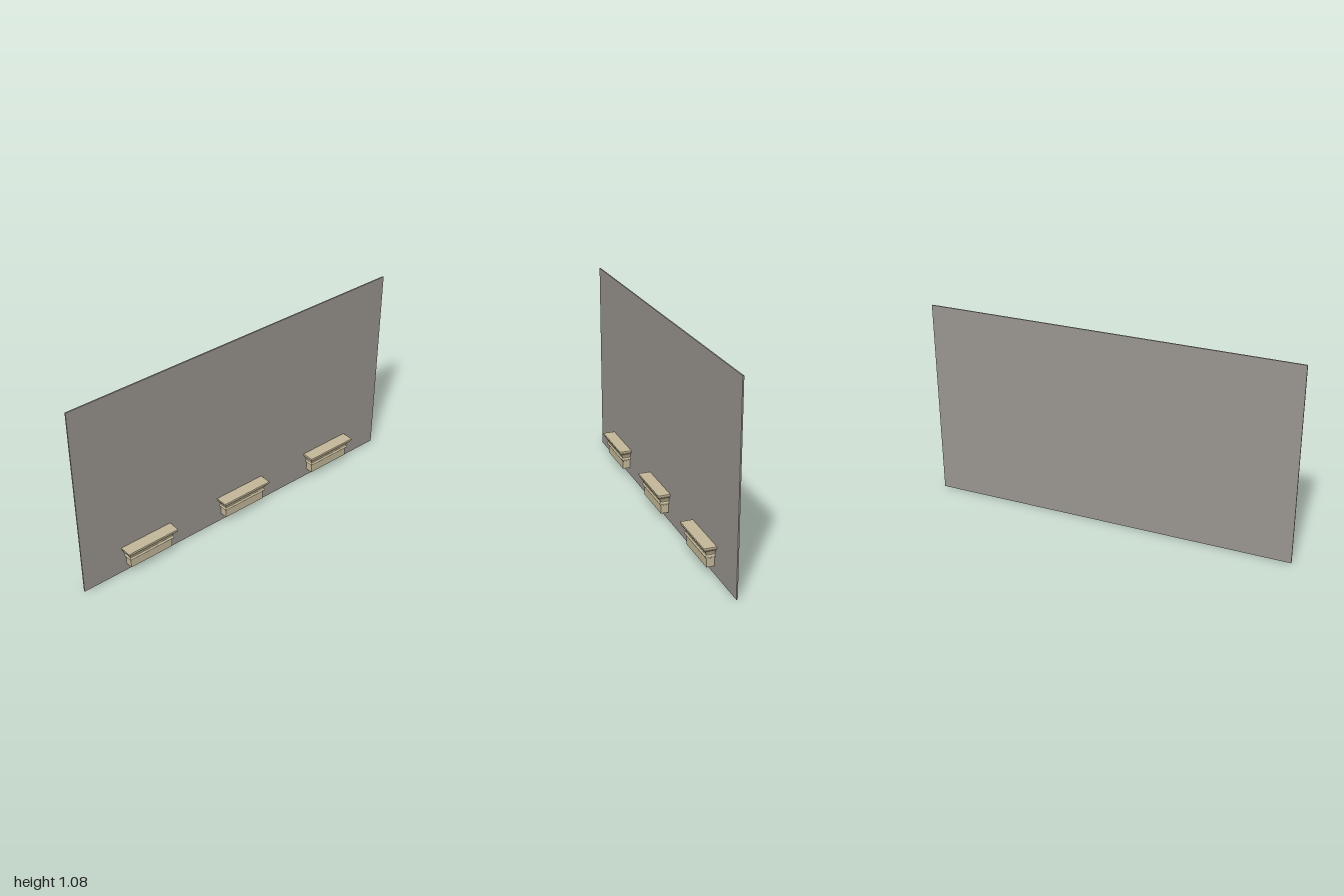
import * as THREE from 'three';
import { toCreasedNormals } from 'three/addons/utils/BufferGeometryUtils.js';

const HALF = 0.128, FRONT = 0.012, BACK = -0.03;

// Moulding profile as [projection, height], bottom to top
const profile = [
  [0, 0.043], [0, 0.088], [0.003, 0.09], [0.003, 0.094],
  [0.007, 0.096], [0.0095, 0.1], [0.0095, 0.104], [0.007, 0.108],
  [0.004, 0.11], [0.004, 0.115], [0.006, 0.118], [0.007, 0.123],
  [0.009, 0.128], [0.013, 0.133], [0.018, 0.137], [0.021, 0.14],
  [0.021, 0.143], [0.0235, 0.146], [0.025, 0.149], [0.025, 0.156], [0.0245, 0.157],
];

// Stacks mitred rectangular sections along the profile and closes both ends
function mouldingGeometry() {
  const positions = [], index = [];
  for (const [o, y] of profile) {
    const x = HALF + o, z = FRONT + o;
    positions.push(-x, y, BACK, -x, y, z, x, y, z, x, y, BACK);
  }
  for (let i = 0; i < profile.length - 1; i++) {
    for (let k = 0; k < 4; k++) {
      const a = i * 4 + k, b = i * 4 + (k + 1) % 4;
      index.push(a, b, b + 4, a, b + 4, a + 4);
    }
  }
  const t = (profile.length - 1) * 4;
  index.push(0, 2, 1, 0, 3, 2, t, t + 1, t + 2, t, t + 2, t + 3);
  const geometry = new THREE.BufferGeometry();
  geometry.setAttribute('position', new THREE.Float32BufferAttribute(positions, 3));
  geometry.setIndex(index);
  return toCreasedNormals(geometry, 0.6);
}

export function createModel() {
  const group = new THREE.Group();
  group.name = 'wallWithCorbels';
  const wallGrey = new THREE.MeshStandardMaterial({ color: 0x9a958f });
  wallGrey.name = 'wallGrey';
  const stone = new THREE.MeshStandardMaterial({ color: 0xc4b899 });
  stone.name = 'stone';

  // Thin backing wall
  const wall = new THREE.Mesh(new THREE.BoxGeometry(2, 1.08, 0.007), wallGrey);
  wall.name = 'wall';
  wall.position.set(0, 0.54, -0.0335);
  group.add(wall);

  // Three moulded capitals along the foot of the wall
  const geometry = mouldingGeometry();
  ['rightCapital', 'middleCapital', 'leftCapital'].forEach((name, i) => {
    const capital = new THREE.Mesh(geometry, stone);
    capital.name = name;
    capital.position.x = (i - 1) * 0.615;
    group.add(capital);
  });
  return group;
}
